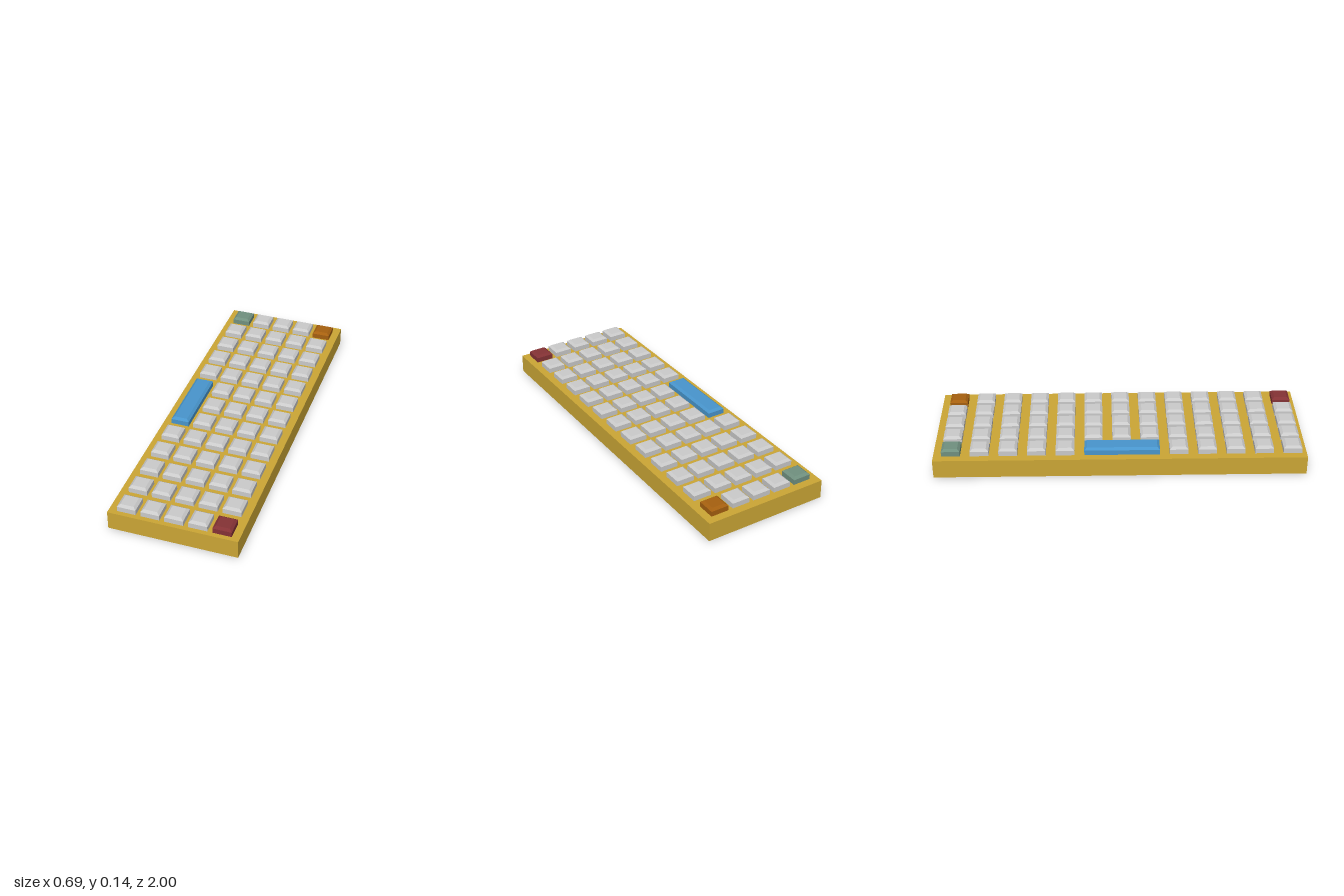
import * as THREE from 'three';

const material = (name, color) => {
  const m = new THREE.MeshStandardMaterial({ color });
  m.name = name;
  return m;
};

const BASE_TOP = 0.104, SHOULDER = 0.132, KEY_TOP = 0.143;
const KEY = 0.1, INSET = 0.014;

// Key cap: straight sides, then a bevel up to a smaller flat top
function keyGeometry(width, depth) {
  const box = new THREE.BoxGeometry(width, 2, depth, 1, 2, 1);
  const p = box.attributes.position;
  const heights = [BASE_TOP, SHOULDER, KEY_TOP];
  for (let i = 0; i < p.count; i++) {
    const level = Math.round(p.getY(i)) + 1;
    p.setY(i, heights[level]);
    if (level === 2) {
      p.setX(i, p.getX(i) - Math.sign(p.getX(i)) * INSET);
      p.setZ(i, p.getZ(i) - Math.sign(p.getZ(i)) * INSET);
    }
  }
  const geometry = box.toNonIndexed();
  geometry.computeVertexNormals();
  return geometry;
}

export function createModel() {
  const model = new THREE.Group();
  model.name = 'keyboard';

  const gold = material('gold', 0xcba635);
  const grey = material('light grey', 0xcacaca);
  const blue = material('blue', 0x4895cc);
  const red = material('dark red', 0x843235);
  const orange = material('burnt orange', 0xa6600f);
  const teal = material('grey green', 0x70907f);

  const add = (name, geometry, mat, x, y, z) => {
    const mesh = new THREE.Mesh(geometry, mat);
    mesh.name = name;
    mesh.position.set(x, y, z);
    model.add(mesh);
  };

  // Case
  add('case', new THREE.BoxGeometry(0.69, BASE_TOP, 2), gold, 0, BASE_TOP / 2, 0);

  // Grid of keys, with three coloured corners and a gap for the space bar
  const cap = keyGeometry(KEY, KEY);
  const corners = {
    '0,0': ['greenCornerKey', teal],
    '4,0': ['orangeCornerKey', orange],
    '4,12': ['redCornerKey', red],
  };
  for (let col = 0; col < 5; col++) {
    for (let row = 0; row < 13; row++) {
      if (col === 0 && row >= 5 && row <= 7) continue;
      const [name, mat] = corners[`${col},${row}`] ?? ['key', grey];
      add(name, cap, mat, -0.251 + col * 0.1262, 0, -0.906 + row * 0.1526);
    }
  }

  // Space bar
  add('spaceBar', keyGeometry(KEY, 0.405), blue, -0.251, 0, 0.01);

  return model;
}
